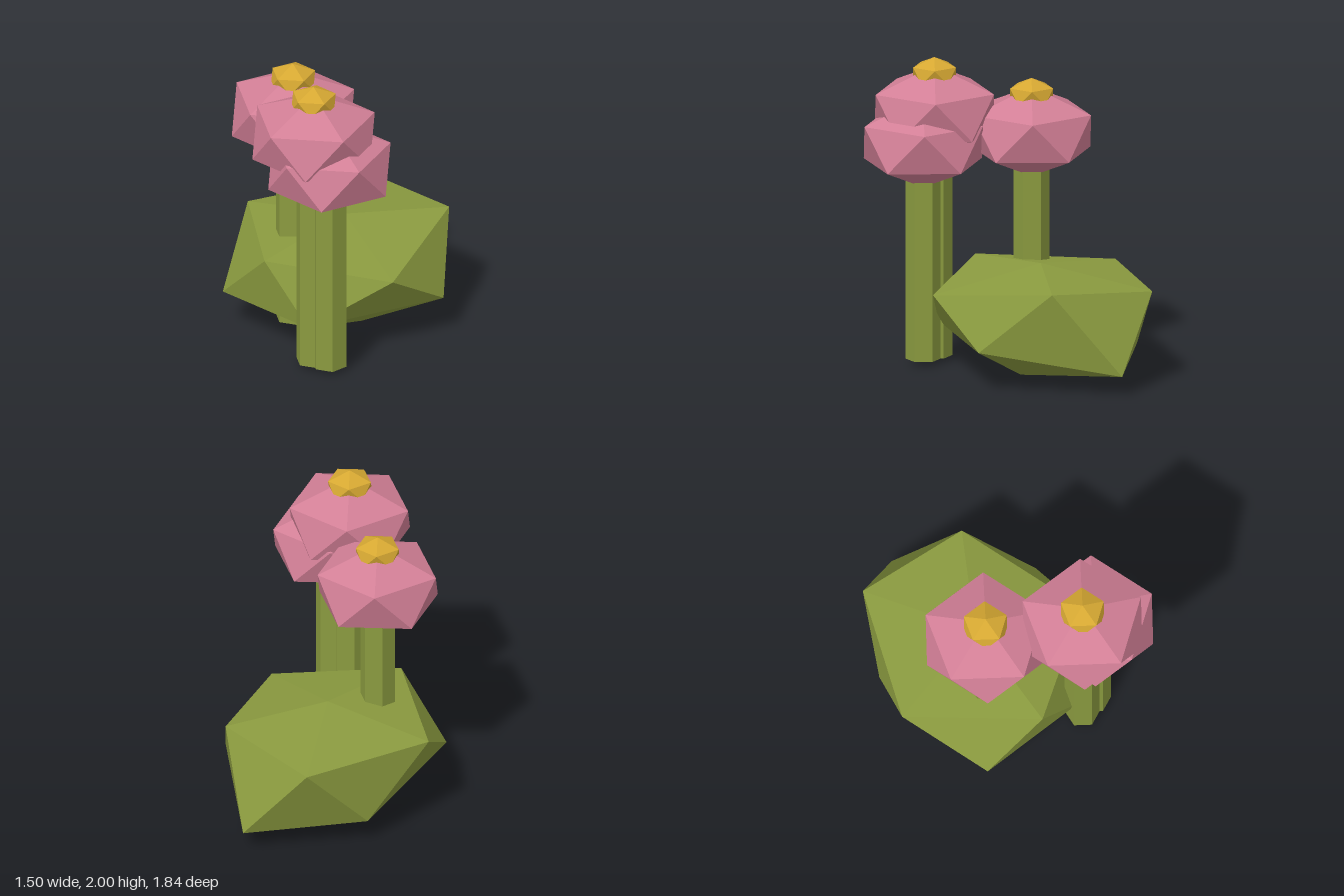
import * as THREE from 'three';

const paint = (color) => new THREE.MeshStandardMaterial({ color, flatShading: true });

// Closed 20-sided form: top pole, five upper points, five lower points, bottom pole
function facetedForm(top, upper, lower, bottom) {
  const pos = [];
  for (let i = 0; i < 5; i++) {
    const j = (i + 1) % 5;
    pos.push(...top, ...upper[i], ...upper[j]);
    pos.push(...upper[i], ...lower[i], ...upper[j]);
    pos.push(...lower[i], ...lower[j], ...upper[j]);
    pos.push(...bottom, ...lower[j], ...lower[i]);
  }
  const geo = new THREE.BufferGeometry();
  geo.setAttribute('position', new THREE.Float32BufferAttribute(pos, 3));
  geo.computeVertexNormals();
  return geo;
}

// Regular version, squashed in height
function facetedBall(radius, halfHeight) {
  const ring = (turn, y) => Array.from({ length: 5 }, (_, i) => {
    const a = (i + turn) * Math.PI * 0.4;
    return [radius * Math.cos(a), y, -radius * Math.sin(a)];
  });
  const h = halfHeight * 0.447;
  return facetedForm([0, halfHeight, 0], ring(0, h), ring(0.5, -h), [0, -halfHeight, 0]);
}

export function createModel() {
  const group = new THREE.Group();
  const green = paint(0x8a9a3f), pink = paint(0xd27f96), yellow = paint(0xd6a832);

  const add = (parent, name, geo, mat, x, y, z) => {
    const mesh = new THREE.Mesh(geo, mat);
    mesh.name = name;
    mesh.position.set(x, y, z);
    parent.add(mesh);
  };

  // Lopsided leafy bush
  const bush = facetedForm(
    [0.05, 0.715, -0.21],
    [[0.745, 0.67, -0.27], [0.38, 0.605, -0.92], [-0.49, 0.61, -0.7], [-0.55, 0.635, 0.2], [0.235, 0.55, 0.485]],
    [[0.75, 0.13, -0.72], [-0.05, 0.16, -0.83], [-0.755, 0.255, -0.16], [-0.31, 0.25, 0.44], [0.62, 0.26, 0.2]],
    [0.14, 0, -0.08]
  );
  add(group, 'bush', bush, green, 0, 0, 0);

  // Three flowers: x, height of blossom centre, z
  const blossom = facetedBall(0.4, 0.296);
  const centre = facetedBall(0.145, 0.108);
  [[-0.28, 1.648, 0.467], [-0.19, 1.458, 0.54], [-0.297, 1.503, -0.157]].forEach(([x, y, z], i) => {
    const flower = new THREE.Group();
    flower.name = 'flower' + (i + 1);
    const bottom = 0.03, height = y - bottom;
    add(flower, 'stem', new THREE.CylinderGeometry(0.115, 0.115, height, 6), green, x, bottom + height / 2, z);
    add(flower, 'blossom', blossom, pink, x, y, z);
    add(flower, 'flowerCentre', centre, yellow, x, y + 0.244, z);
    group.add(flower);
  });

  return group;
}
